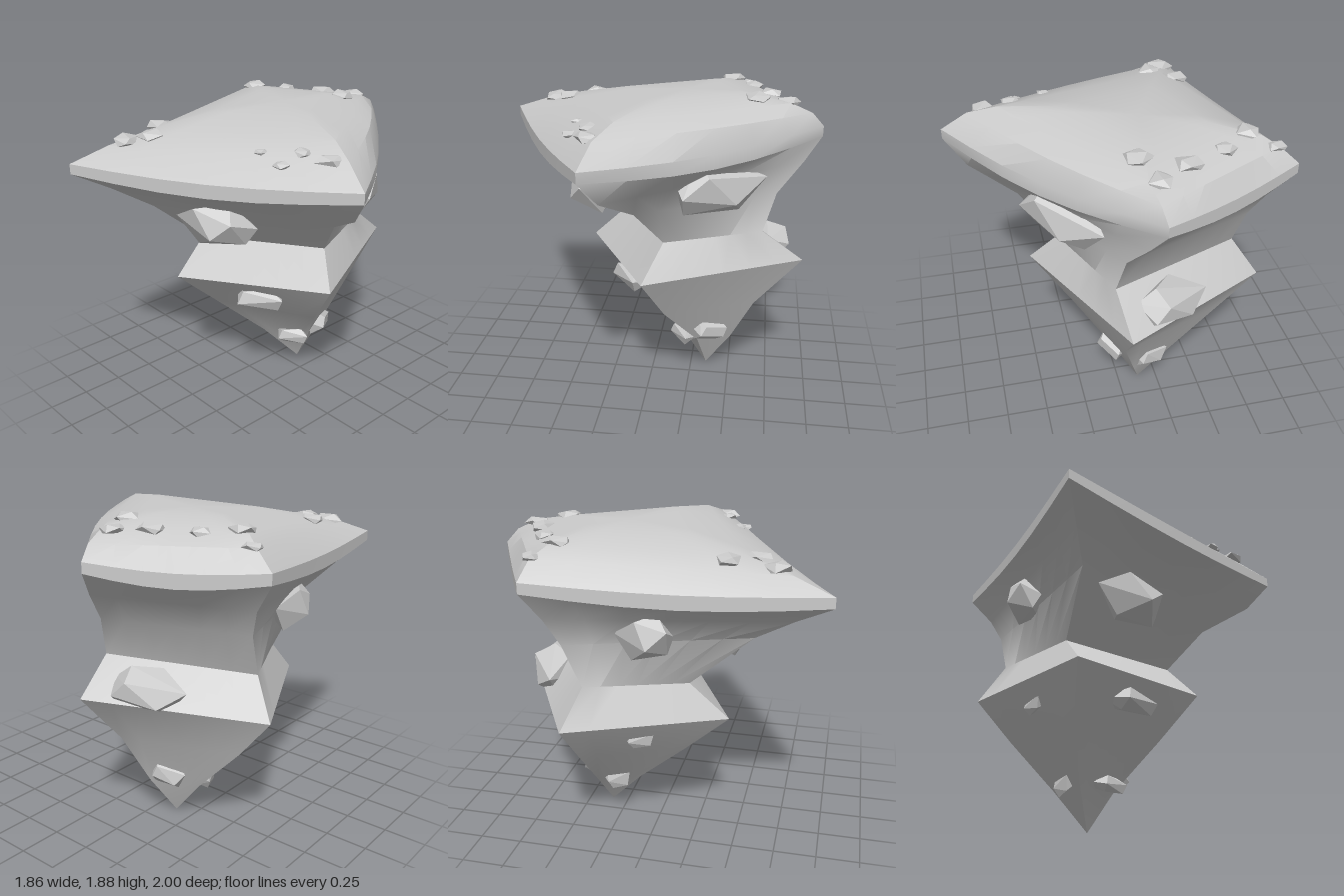
import * as THREE from 'three';
import { toCreasedNormals } from 'three/addons/utils/BufferGeometryUtils.js';
import { ConvexGeometry } from 'three/addons/geometries/ConvexGeometry.js';

const STEPS = 6; // points along each side of a ring
const TIP = new THREE.Vector3(-.13, 0, -.35);
const CROWN = new THREE.Vector3(-.13, 1.865, -.2);
const RIM_BULGE = [.025, .05, 0, -.01]; // front, right, back and left sides

// Four corners of a ring from flat x, y, z values: front, right, back, left
const corners = (...v) => [0, 3, 6, 9].map(i => new THREE.Vector3(v[i], v[i + 1], v[i + 2]));
const towards = (ring, target, t) => ring.map(p => p.clone().lerp(target, t));

// Closed outline through four corners; sag lowers and bulge pushes out the side middles
function outline(ring, sag = 0, bulge = [0, 0, 0, 0]) {
  const points = [];
  ring.forEach((a, side) => {
    const b = ring[(side + 1) % 4];
    const out = new THREE.Vector3(a.z - b.z, 0, b.x - a.x).normalize();
    for (let k = 0; k < STEPS; k++) {
      const mid = Math.sin(Math.PI * k / STEPS);
      const p = a.clone().lerp(b, k / STEPS).addScaledVector(out, bulge[side] * mid);
      p.y -= sag * mid;
      points.push(p);
    }
  });
  return points;
}

// Outlines of the rock body from the tip up to the crown
function bodyOutlines() {
  const root = corners(-.24, .25, -.13, .02, .25, -.3, -.06, .25, -.51, -.34, .25, -.38);
  const hip = corners(-.36, .55, .19, .26, .55, -.11, .03, .55, -.65, -.63, .55, -.39);
  const belly = corners(-.41, .79, .45, .49, .85, 0, .06, .88, -.93, -.85, .81, -.42);
  const waist = corners(-.43, 1, .22, .33, 1.06, -.11, .1, 1.07, -.68, -.7, 1.03, -.33);
  const ledge = corners(-.43, 1.3, .58, .53, 1.3, .03, .06, 1.3, -.75, -.73, 1.28, -.43);
  const flare = corners(-.53, 1.44, .8, .8, 1.45, .17, -.02, 1.48, -.9, -.8, 1.44, -.5);
  const rim = corners(-.62, 1.61, 1, .925, 1.66, .25, -.08, 1.68, -1, -.93, 1.67, -.57);
  const shoulder = corners(-.55, 1.69, .78, .77, 1.775, .2, -.06, 1.76, -.93, -.82, 1.77, -.54);
  const plateau = corners(-.46, 1.76, .52, .6, 1.835, .12, -.03, 1.82, -.8, -.73, 1.82, -.48);
  const rimUnderside = rim.map(p => p.clone().setY(p.y - .06));
  const top = towards(plateau, CROWN, .45).map(p => p.setY(p.y + .025));
  return [
    outline(towards(root, TIP, .85)), outline(root), outline(hip), outline(belly),
    outline(waist), outline(ledge), outline(flare), outline(rimUnderside, .05, RIM_BULGE),
    outline(rim, .03, RIM_BULGE), outline(shoulder, 0, RIM_BULGE), outline(plateau), outline(top)
  ];
}

// Main body: outlines joined by quads, closed by a point at each end
function bodyGeometry() {
  const rings = bodyOutlines(), n = STEPS * 4, index = [];
  const points = [...rings.flat(), TIP, CROWN];
  const tip = points.length - 2, crown = points.length - 1, last = tip - n;
  for (let i = 0; i < n; i++) {
    const j = (i + 1) % n;
    for (let base = 0; base < last; base += n) {
      const a = base + i, b = base + j;
      index.push(a, b, b + n, a, b + n, a + n);
    }
    index.push(tip, j, i, crown, last + i, last + j);
  }
  const geometry = new THREE.BufferGeometry().setFromPoints(points);
  geometry.setIndex(index);
  return toCreasedNormals(geometry, .5);
}

// Angular stone: convex hull of points spiralling unevenly over an ellipsoid
function stoneGeometry(seed, rx, ry, rz) {
  const points = [], count = 10;
  for (let i = 0; i < count; i++) {
    const h = 1 - 2 * (i + .5) / count, w = Math.sqrt(1 - h * h);
    const a = i * 2.4 + Math.sin(seed * 12.9 + i * 78.2) * .45;
    points.push(new THREE.Vector3(Math.cos(a) * w * rx, h * ry, Math.sin(a) * w * rz));
  }
  return new ConvexGeometry(points);
}

export function createModel() {
  const group = new THREE.Group();
  const smooth = new THREE.MeshStandardMaterial({ color: 0xcccccc });
  const faceted = new THREE.MeshStandardMaterial({ color: 0xcccccc, flatShading: true });

  const body = new THREE.Mesh(bodyGeometry(), smooth);
  body.name = 'islandBody';
  group.add(body);

  const addStone = (name, seed, x, y, z, rx, ry, rz, turn) => {
    const stone = new THREE.Mesh(stoneGeometry(seed, rx, ry, rz), faceted);
    stone.name = name;
    stone.position.set(x, y, z);
    stone.rotation.y = turn;
    group.add(stone);
  };

  // Boulders stuck in the sides: centre, radii (along wall, up, out), turn about y
  addStone('frontUpperBoulder', 3, -.08, 1.24, .39, .26, .16, .16, .45);
  addStone('leftUpperBoulder', 4, -.66, 1.34, .02, .17, .15, .12, -1.35);
  addStone('rightUpperBoulder', 5, .33, 1.42, -.42, .33, .18, .12, -.9);
  addStone('backBeltBoulder', 6, -.22, .93, -.68, .25, .14, .14, .5);
  addStone('backLowerBoulder', 7, -.17, .32, -.46, .13, .11, .08, .4);
  addStone('frontSlab', 8, 0, .69, .13, .21, .08, .12, .45);
  addStone('frontLowerBoulder', 9, -.03, .27, -.2, .14, .06, .07, .5);
  addStone('rightLowerBoulder', 10, .05, .35, -.37, .14, .1, .07, -1.1);
  addStone('leftBoulder', 11, -.54, .69, -.05, .11, .08, .06, -1.2);
  addStone('leftLowerBoulder', 12, -.3, .28, -.26, .11, .1, .05, -1.2);

  // Pebbles resting on the top surface, in clusters near its corners: x, z, radius
  const ray = new THREE.Raycaster(), down = new THREE.Vector3(0, -1, 0);
  const scatter = (cluster, spots) => spots.forEach(([x, z, r], i) => {
    ray.set(new THREE.Vector3(x, 3, z), down);
    const y = ray.intersectObject(body)[0].point.y;
    addStone(cluster + (i + 1), i + 31, x, y, z, r, r * .4, r * .85, i * 1.3);
  });
  scatter('leftPebble', [[-.79, -.54, .065], [-.66, -.45, .085], [-.5, -.58, .07]]);
  scatter('backPebble', [[-.26, -.68, .09], [-.09, -.79, .085], [-.03, -.61, .09]]);
  scatter('frontPebble', [[-.52, .44, .09], [-.4, .58, .09], [-.5, .69, .1]]);
  scatter('rightPebble', [[.31, .38, .045], [.47, .38, .055], [.51, .27, .065], [.67, .25, .085]]);

  return group;
}
